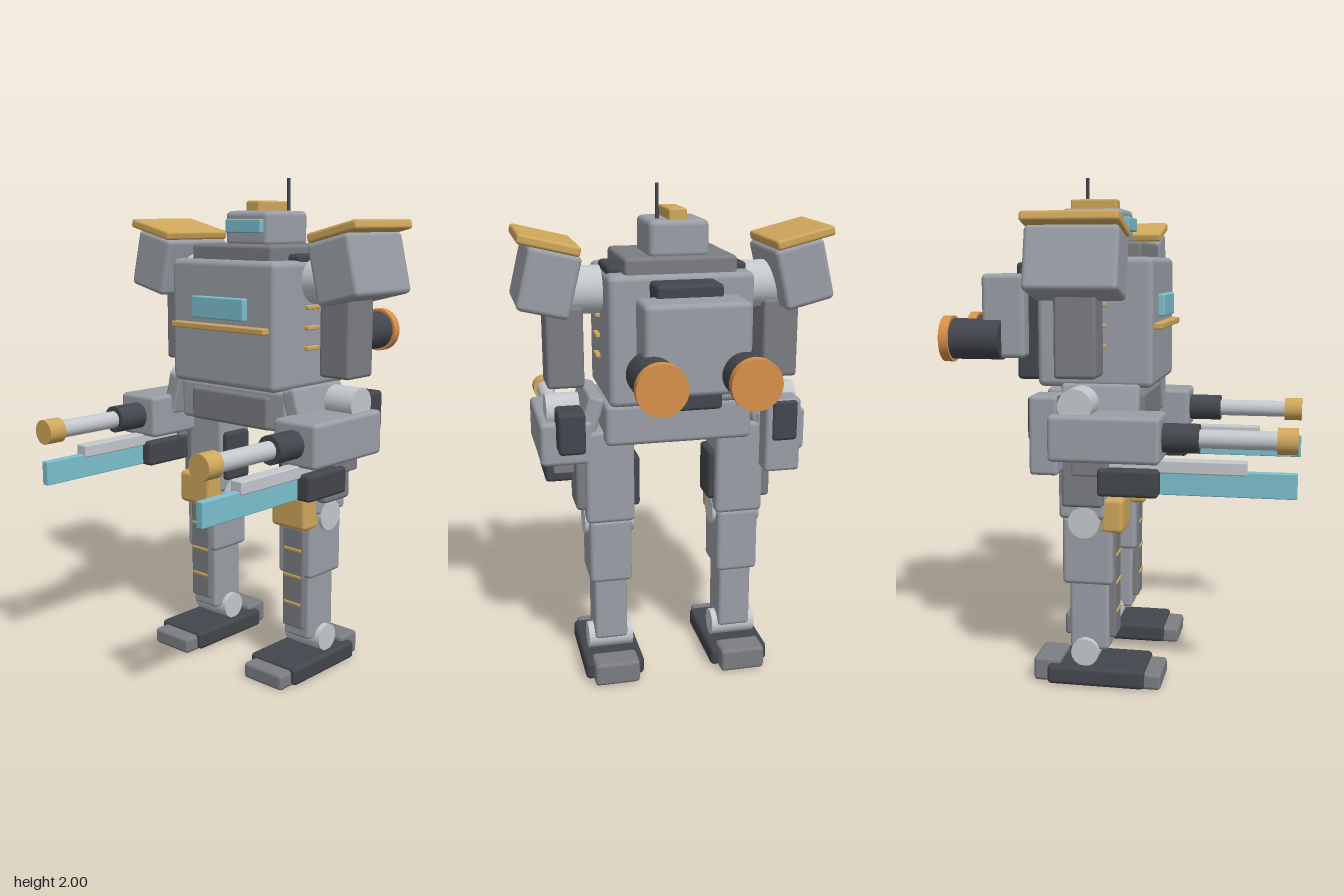
import * as THREE from 'three';
import { RoundedBoxGeometry } from 'three/addons/geometries/RoundedBoxGeometry.js';

const mat = (color) => new THREE.MeshStandardMaterial({ color });
const M = {
  grey: mat(0x9a9ea6), mid: mat(0x7b7d82), dark: mat(0x43464d), light: mat(0xc4c8cd),
  gold: mat(0xd0a75c), cyan: mat(0x7cc0d0), orange: mat(0xd8904a),
};

// Rounded box given by its min and max along each axis
function box(parent, name, m, [x0, x1], [y0, y1], [z0, z1], r = 0.015) {
  const w = x1 - x0, h = y1 - y0, d = z1 - z0;
  const g = new RoundedBoxGeometry(w, h, d, 2, Math.min(r, Math.min(w, h, d) * 0.3));
  const mesh = new THREE.Mesh(g, M[m]);
  mesh.name = name;
  mesh.position.set((x0 + x1) / 2, (y0 + y1) / 2, (z0 + z1) / 2);
  parent.add(mesh);
  return mesh;
}

// Cylinder along an axis, centred on a point
function cyl(parent, name, m, axis, r, len, x, y, z) {
  const g = new THREE.CylinderGeometry(r, r, len, 32);
  if (axis === 'x') g.rotateZ(Math.PI / 2);
  if (axis === 'z') g.rotateX(Math.PI / 2);
  const mesh = new THREE.Mesh(g, M[m]);
  mesh.name = name;
  mesh.position.set(x, y, z);
  parent.add(mesh);
  return mesh;
}

// Span on one side of the body; s = +1 is the model's left
const span = (s, a, b) => (s > 0 ? [a, b] : [-b, -a]);
const around = (c, half) => [c - half, c + half];

function group(parent, name) {
  const g = new THREE.Group();
  g.name = name;
  parent.add(g);
  return g;
}

function buildTorso(root) {
  const t = group(root, 'torso');
  box(t, 'chest', 'grey', [-0.28, 0.28], [1.18, 1.68], [-0.3, 0.155], 0.025);
  box(t, 'shoulderYoke', 'dark', [-0.27, 0.27], [1.6, 1.705], [-0.215, 0]);
  box(t, 'collar', 'mid', [-0.215, 0.215], [1.66, 1.74], [-0.28, 0.1]);
  box(t, 'chestWindow', 'cyan', [-0.14, 0.14], [1.45, 1.537], [0.13, 0.18], 0.006);
  box(t, 'chestStrip', 'gold', [-0.25, 0.25], [1.405, 1.43], [0.13, 0.188], 0.006);
  for (const s of [-1, 1])
    for (let i = 0; i < 4; i++)
      box(t, 'sideVent', 'gold', span(s, 0.26, 0.298), around(1.34 + i * 0.08, 0.008), [-0.1, -0.025], 0.004);

  // Pelvis and flared hip plates
  box(t, 'pelvis', 'grey', [-0.29, 0.29], [1.015, 1.18], [-0.26, 0.095], 0.02);
  box(t, 'bellyPlate', 'mid', [-0.21, 0.21], [1.02, 1.155], [0.06, 0.115]);
  for (const s of [-1, 1]) {
    const p = box(t, 'hipPlate', 'grey', around(s * 0.335, 0.033), [1.02, 1.2], [-0.19, 0.115]);
    p.rotation.z = s * 0.3;
  }

  // Head
  const h = group(root, 'head');
  box(h, 'skull', 'grey', [-0.115, 0.115], [1.73, 1.87], [-0.245, 0.01], 0.022);
  box(h, 'visor', 'cyan', [-0.095, 0.095], [1.783, 1.838], [-0.02, 0.03], 0.006);
  box(h, 'crest', 'gold', [-0.035, 0.035], [1.86, 1.91], [-0.22, -0.03], 0.008);
  cyl(h, 'antenna', 'dark', 'y', 0.007, 0.15, 0.07, 1.925, -0.172);
}

function buildBackpack(root) {
  const b = group(root, 'backpack');
  box(b, 'packMount', 'dark', [-0.125, 0.125], [1.19, 1.66], [-0.425, -0.28]);
  box(b, 'packBody', 'grey', [-0.195, 0.195], [1.28, 1.615], [-0.552, -0.375], 0.02);
  for (const s of [-1, 1]) {
    cyl(b, 'thruster', 'dark', 'z', 0.082, 0.21, s * 0.167, 1.355, -0.575);
    cyl(b, 'thrusterCap', 'orange', 'z', 0.093, 0.038, s * 0.167, 1.355, -0.693);
  }
}

function buildArm(root, s) {
  const a = group(root, s > 0 ? 'leftArm' : 'rightArm');
  const c = s * 0.43;
  cyl(a, 'shoulderJoint', 'light', 'x', 0.092, 0.18, s * 0.37, 1.602, -0.095);
  box(a, 'upperArm', 'mid', span(s, 0.355, 0.5), [1.235, 1.55], [-0.18, -0.02]);

  // Pauldron, tilted outward and up
  const p = group(a, 'pauldron');
  p.position.set(s * 0.49, 1.65, -0.095);
  p.rotation.z = s * 0.24;
  box(p, 'pauldronBody', 'grey', [-0.1, 0.1], [-0.115, 0.125], [-0.175, 0.175], 0.02);
  box(p, 'pauldronCap', 'gold', around(s * 0.03, 0.118), [0.122, 0.16], [-0.18, 0.18], 0.012);

  // Elbow and forearm
  cyl(a, 'elbowJoint', 'light', 'x', 0.065, 0.13, s * 0.44, 1.135, -0.1);
  box(a, 'forearm', 'grey', span(s, 0.33, 0.536), [0.93, 1.105], [-0.2, 0.22], 0.018);
  box(a, 'elbowBlock', 'dark', span(s, 0.37, 0.475), [1.0, 1.165], [-0.288, -0.15]);
  if (s < 0) box(a, 'elbowShield', 'grey', [-0.49, -0.345], [0.87, 1.17], [-0.28, -0.17]);

  // Gun
  cyl(a, 'gunSleeve', 'dark', 'z', 0.055, 0.16, c, 1.018, 0.275);
  cyl(a, 'gunBarrel', 'light', 'z', 0.035, 0.34, c, 1.018, 0.49);
  cyl(a, 'gunMuzzle', 'gold', 'z', 0.049, 0.075, c, 1.018, 0.676);

  // Blade under the forearm
  box(a, 'bladeRail', 'light', around(c, 0.028), [0.888, 0.938], [-0.1, 0.53], 0.006);
  box(a, 'railBlock', 'mid', around(c, 0.05), [0.87, 0.94], [-0.12, 0.02], 0.008);
  box(a, 'bladeMount', 'dark', around(s * 0.435, 0.068), [0.8, 0.905], [-0.02, 0.21]);
  box(a, 'blade', 'cyan', around(c, 0.016), [0.805, 0.9], [0.18, 0.714], 0.004);
}

function buildLeg(root, s) {
  const l = group(root, s > 0 ? 'leftLeg' : 'rightLeg');
  const c = s * 0.265;
  box(l, 'thigh', 'grey', around(c, 0.098), [0.675, 1.06], [-0.2, -0.015], 0.018);
  box(l, 'outerThighPanel', 'mid', span(s, 0.34, 0.4), [0.73, 0.94], [-0.18, -0.02]);
  box(l, 'innerThighPanel', 'dark', span(s, 0.14, 0.19), [0.73, 0.94], [-0.17, -0.03]);
  cyl(l, 'kneeJoint', 'light', 'x', 0.062, 0.2, c, 0.663, -0.1);
  box(l, 'kneePad', 'gold', around(c, 0.09), [0.62, 0.76], [-0.04, 0.053], 0.02);
  box(l, 'calf', 'grey', around(c, 0.086), [0.41, 0.68], [-0.19, 0.01], 0.018);
  box(l, 'shin', 'grey', around(c, 0.068), [0.14, 0.44], [-0.165, -0.008]);
  box(l, 'shinPlate', 'mid', around(c, 0.053), [0.19, 0.615], [-0.03, 0.018], 0.008);
  for (const y of [0.295, 0.412, 0.525])
    box(l, 'shinStripe', 'gold', around(c, 0.044), around(y, 0.006), [0.005, 0.023], 0.003);

  // Ankle and foot
  cyl(l, 'ankleJoint', 'light', 'x', 0.055, 0.185, c, 0.135, -0.1);
  box(l, 'foot', 'dark', around(c, 0.122), [0.005, 0.082], [-0.25, 0.14], 0.018);
  box(l, 'toe', 'mid', around(c, 0.1), [0, 0.067], [0.06, 0.203]);
  box(l, 'heel', 'mid', around(c, 0.092), [0.005, 0.102], [-0.31, -0.2]);
}

export function createModel() {
  const root = new THREE.Group();
  root.name = 'walkerRobot';
  buildTorso(root);
  buildBackpack(root);
  for (const s of [-1, 1]) {
    buildArm(root, s);
    buildLeg(root, s);
  }
  return root;
}
